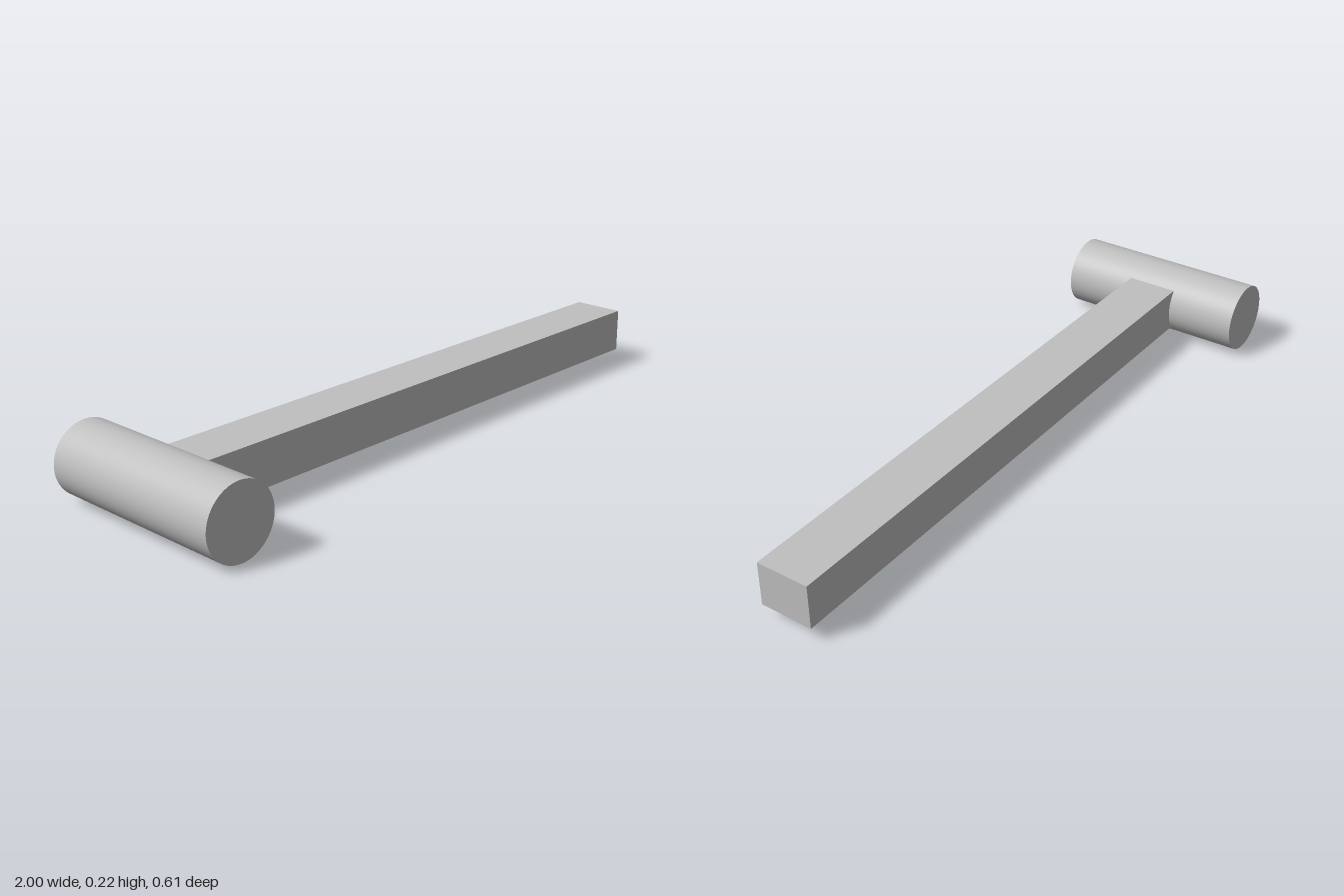
import * as THREE from 'three';

export function createModel() {
  const model = new THREE.Group();
  model.name = 'mallet';
  const grey = new THREE.MeshStandardMaterial({ color: 0xc0c0c0 });
  grey.name = 'light grey';

  // Round head, lying along z
  const radius = 0.108;
  const head = new THREE.Mesh(
    new THREE.CylinderGeometry(radius, radius, 0.606, 64).rotateX(Math.PI / 2), grey);
  head.name = 'head';
  head.position.set(-1 + radius, radius, 0);
  model.add(head);

  // Square handle, its inner end sunk into the head
  const start = -0.812, end = 1;
  const handle = new THREE.Mesh(new THREE.BoxGeometry(end - start, 0.135, 0.162), grey);
  handle.name = 'handle';
  handle.position.set((start + end) / 2, 0.109, 0);
  model.add(handle);

  return model;
}
